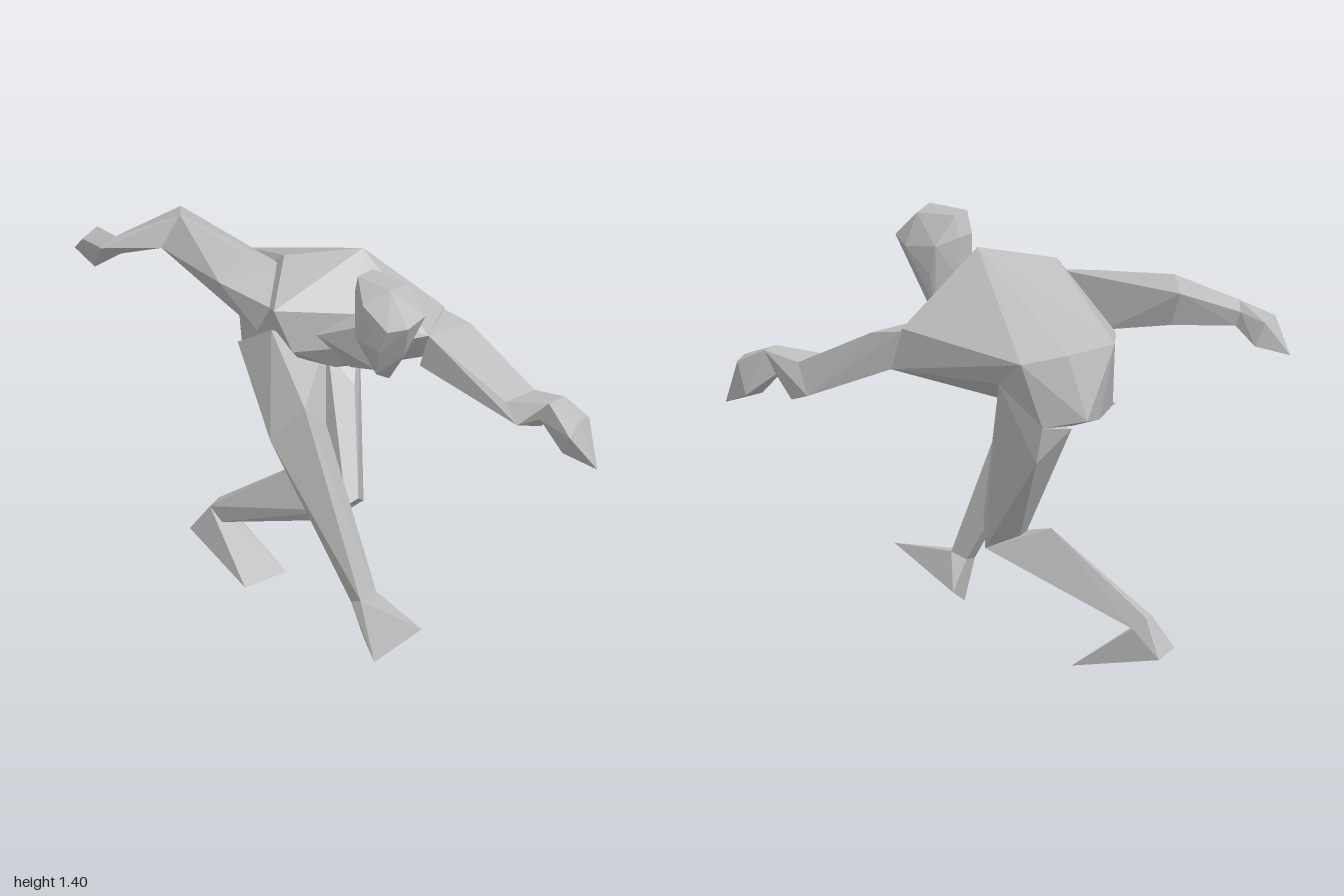
import * as THREE from 'three';
import { ConvexGeometry } from 'three/addons/geometries/ConvexGeometry.js';

export function createModel() {
  const group = new THREE.Group();
  group.name = 'crouchingFigure';
  const clay = new THREE.MeshStandardMaterial({ color: 0xbdbdbd });
  clay.name = 'clay grey';

  // A faceted body part wrapped tightly around its corner points
  const addPart = (name, corners) => {
    const points = corners.map((c) => new THREE.Vector3(...c));
    const mesh = new THREE.Mesh(new ConvexGeometry(points), clay);
    mesh.name = name;
    group.add(mesh);
  };

  // A limb: each segment spans two neighbouring joint sections
  const addLimb = (names, sections) =>
    names.forEach((name, i) => addPart(name, [...sections[i], ...sections[i + 1]]));

  // Torso, twisted with the left shoulder forward
  addPart('torso', [
    [0.04, 1.36, 0.12], [0.28, 1.11, 0.27], [0.11, 1.08, 0.35],
    [0.27, 0.96, 0.32], [-0.04, 1.08, 0.28], [0.1, 0.96, 0.23], [-0.1, 1.19, 0.21],
    [-0.11, 1.32, -0.1], [-0.28, 1.2, 0.0], [-0.24, 1.05, 0.05],
    [-0.1, 0.97, 0.12], [0.14, 0.87, -0.12], [-0.04, 0.92, -0.1],
    [-0.03, 1.12, -0.38], [0.17, 1.14, -0.5], [0.29, 1.11, -0.39],
    [0.38, 1.08, -0.26], [0.31, 0.98, -0.13],
  ]);
  addPart('pelvis', [
    [0.38, 1.08, -0.26], [0.31, 0.98, -0.13], [0.34, 0.86, -0.32],
    [0.28, 0.89, -0.46], [0.2, 0.88, -0.46], [0.17, 1.14, -0.5],
    [0.29, 1.11, -0.39], [0.16, 0.83, -0.33], [0.02, 0.88, -0.4],
    [-0.03, 1.12, -0.38], [0.14, 0.88, -0.12], [-0.02, 0.93, -0.1],
  ]);

  // Neck and head
  addPart('neck', [
    [-0.04, 1.08, 0.28], [-0.09, 1.19, 0.2], [-0.2, 1.12, 0.12], [-0.12, 1.0, 0.2],
    [-0.08, 1.18, 0.31], [-0.2, 1.2, 0.3], [-0.2, 1.07, 0.37], [-0.12, 1.03, 0.36],
  ]);
  addPart('head', [
    [-0.24, 1.4, 0.48], [-0.14, 1.39, 0.47], [-0.22, 1.4, 0.32], [-0.14, 1.4, 0.32],
    [-0.31, 1.35, 0.42], [-0.08, 1.3, 0.36], [-0.2, 1.33, 0.29], [-0.12, 1.33, 0.29],
    [-0.29, 1.27, 0.51], [-0.24, 1.28, 0.56], [-0.15, 1.3, 0.56], [-0.1, 1.28, 0.49],
    [-0.28, 1.18, 0.46], [-0.19, 1.15, 0.5], [-0.08, 1.2, 0.38], [-0.29, 1.21, 0.37],
    [-0.2, 1.2, 0.29], [-0.11, 1.2, 0.29], [-0.23, 1.07, 0.41], [-0.14, 1.02, 0.39],
    [-0.08, 1.09, 0.36],
  ]);

  // Left arm reaching forward
  addLimb(['leftUpperArm', 'leftForearm', 'leftHand'], [
    [[0.11, 1.08, 0.35], [0.28, 1.08, 0.39], [0.28, 1.1, 0.27], [0.28, 0.96, 0.32], [0.11, 0.96, 0.31]],
    [[0.12, 0.93, 0.68], [0.26, 0.93, 0.69], [0.3, 0.83, 0.63], [0.1, 0.87, 0.75], [0.27, 0.8, 0.71]],
    [[0.17, 0.95, 0.83], [0.25, 0.95, 0.83], [0.24, 0.87, 0.79], [0.17, 0.88, 0.79]],
    [[0.15, 0.86, 0.94], [0.2, 0.91, 0.94], [0.26, 0.9, 0.93], [0.27, 0.79, 0.89], [0.22, 0.74, 1.0], [0.18, 0.78, 0.88]],
  ]);

  // Right arm swung back
  addLimb(['rightUpperArm', 'rightForearm', 'rightHand'], [
    [[-0.11, 1.28, -0.1], [-0.14, 1.29, -0.25], [-0.27, 1.23, -0.25], [-0.25, 1.19, -0.04], [-0.25, 1.09, -0.1], [-0.04, 1.12, -0.34]],
    [[0.01, 1.3, -0.66], [-0.1, 1.33, -0.57], [-0.16, 1.22, -0.6], [-0.01, 1.18, -0.61]],
    [[-0.26, 1.2, -0.78], [-0.22, 1.24, -0.75], [-0.18, 1.16, -0.76], [-0.18, 1.21, -0.78]],
    [[-0.24, 1.2, -0.88], [-0.13, 1.2, -0.91], [-0.14, 1.1, -1.0], [-0.11, 1.12, -0.88], [-0.2, 1.09, -0.86]],
  ]);

  // Right leg, planted forward with the toe raised
  const rightKnee = [[-0.26, 0.87, 0.12], [-0.15, 0.78, 0.12], [-0.31, 0.74, 0.01], [-0.15, 0.74, 0.04]];
  const rightAnkle = [[-0.23, 0.22, 0.34], [-0.15, 0.23, 0.34], [-0.15, 0.21, 0.28], [-0.22, 0.2, 0.29]];
  addPart('rightThigh', [
    [-0.06, 1.0, -0.2], [0.08, 0.95, -0.08], [0.14, 0.87, -0.2], [0.05, 0.8, -0.25], [0.0, 0.88, -0.4],
    ...rightKnee,
  ]);
  addPart('rightShin', [...rightKnee, [-0.14, 0.58, 0.05], ...rightAnkle]);
  addPart('rightFoot', [
    ...rightAnkle, [-0.24, 0.2, 0.62], [-0.38, 0.1, 0.53], [-0.17, 0.06, 0.3], [-0.08, 0.11, 0.29],
  ]);

  // Left leg, folded with the knee down and the shin trailing
  const leftKnee = [[0.17, 0.36, 0.01], [0.06, 0.31, -0.04]];
  const leftAnkle = [[0.09, 0.19, -0.6], [0.15, 0.2, -0.61], [0.09, 0.14, -0.57], [0.17, 0.16, -0.57]];
  addPart('leftThigh', [
    [0.31, 0.98, -0.13], [0.34, 0.86, -0.32], [0.33, 0.73, -0.29], [0.14, 0.87, -0.12],
    [0.17, 0.77, -0.03], [0.17, 0.82, -0.33], [0.01, 0.41, 0.07], [0.05, 0.43, 0.09],
    ...leftKnee,
  ]);
  addPart('leftShin', [
    ...leftKnee, [0.02, 0.38, 0.04], [0.12, 0.45, -0.22], ...leftAnkle,
  ]);
  addPart('leftFoot', [
    ...leftAnkle, [0.08, 0.09, -0.68], [0.18, 0.07, -0.68], [-0.02, 0.0, -0.35], [0.17, 0.0, -0.33],
  ]);

  return group;
}
